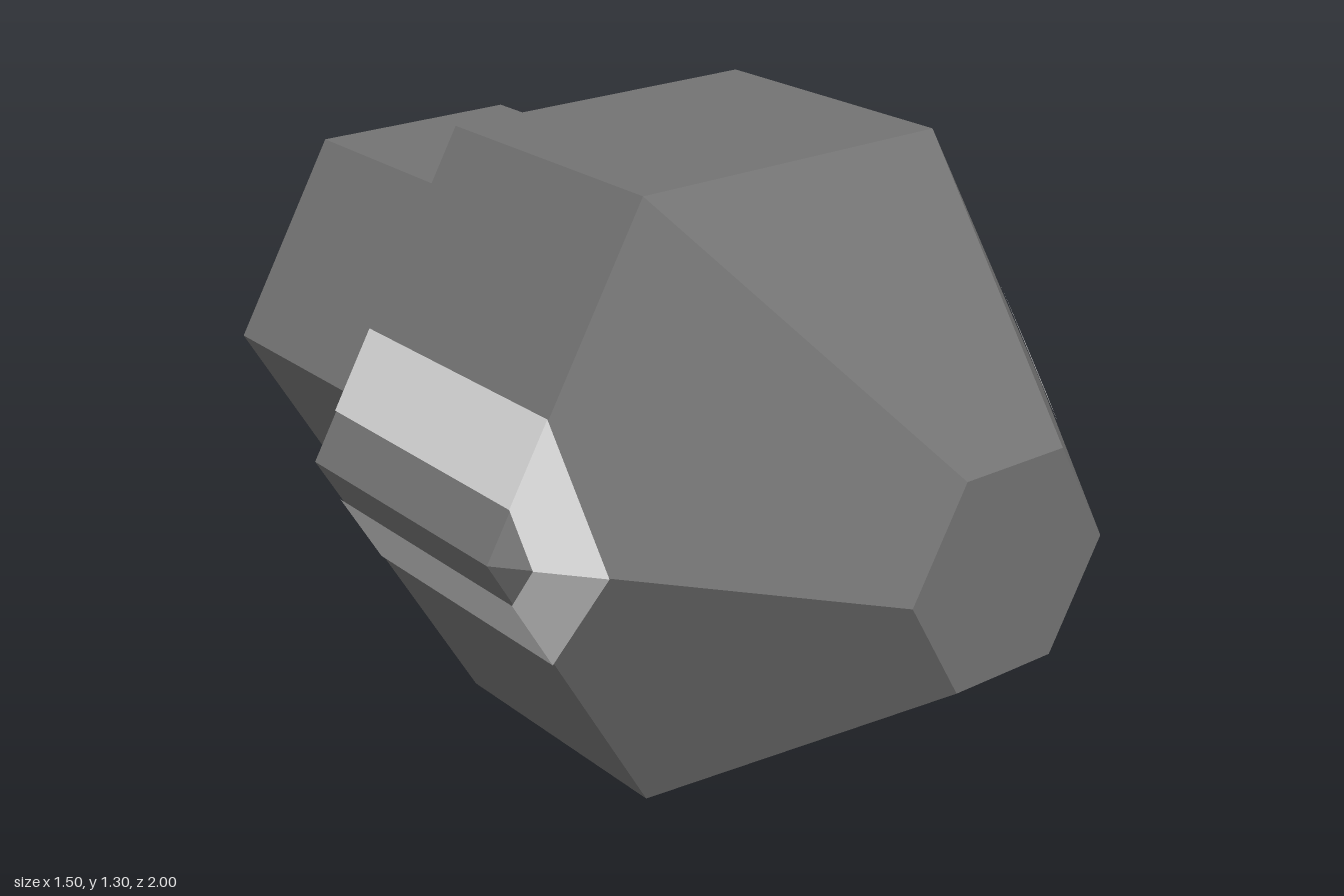
import * as THREE from 'three';

const CENTRE_Y = 0.65;
const SLOPE = Math.sqrt(3);

// Flat mid section and tapers of the hull: radius and z of the rings
const MID_R = 0.75, MID_FRONT = 0.375, MID_REAR = -0.25;
const NOSE_R = 0.25, NOSE_Z = 1, NECK_R = 0.5, NECK_Z = -0.5, TAIL_Z = -1;

function flat(geometry) {
  const g = geometry.toNonIndexed();
  g.computeVertexNormals();
  return g;
}

// Closed outline where the plane x = inset cuts one side of the hull
function sliceLoop(inset, side) {
  const drop = MID_R - inset;
  const h = drop * SLOPE;
  const front = MID_FRONT + (NOSE_Z - MID_FRONT) * drop / (MID_R - NOSE_R);
  const rear = MID_REAR + (NECK_Z - MID_REAR) * drop / (MID_R - NECK_R);
  const loop = [
    [h, MID_FRONT], [0, front], [-h, MID_FRONT],
    [-h, MID_REAR], [0, rear], [h, MID_REAR],
  ].map(([y, z]) => [side * (inset + 0.004), y, z]);
  return side > 0 ? loop : loop.reverse();
}

// Painted ring lying on the hull between two slices
function sideRing(side) {
  const outer = sliceLoop(0.6, side);
  const inner = sliceLoop(0.692, side);
  const positions = [];
  for (let i = 0; i < outer.length; i++) {
    const j = (i + 1) % outer.length;
    positions.push(...outer[i], ...outer[j], ...inner[j]);
    positions.push(...outer[i], ...inner[j], ...inner[i]);
  }
  const g = new THREE.BufferGeometry();
  g.setAttribute('position', new THREE.Float32BufferAttribute(positions, 3));
  g.computeVertexNormals();
  return g;
}

export function createModel() {
  const hullGrey = new THREE.MeshStandardMaterial({ color: 0x737373 });
  hullGrey.name = 'hullGrey';
  const lightGrey = new THREE.MeshStandardMaterial({ color: 0xd3d3d3 });
  lightGrey.name = 'lightGrey';

  const model = new THREE.Group();
  model.name = 'hexagonalPod';
  const add = (name, geometry, material) => {
    const mesh = new THREE.Mesh(geometry, material);
    mesh.name = name;
    mesh.position.y = CENTRE_Y;
    model.add(mesh);
  };

  // Six-sided hull: tail block, flare, mid section, tapered nose
  const profile = [
    [0, TAIL_Z], [NECK_R, TAIL_Z], [NECK_R, NECK_Z], [MID_R, MID_REAR],
    [MID_R, MID_FRONT], [NOSE_R, NOSE_Z], [0, NOSE_Z],
  ].map(([r, z]) => new THREE.Vector2(r, z));
  const hull = new THREE.LatheGeometry(profile, 6, Math.PI / 2);
  hull.rotateX(Math.PI / 2);
  add('hull', flat(hull), hullGrey);

  // Light rings around the side ridges
  add('leftRing', sideRing(1), lightGrey);
  add('rightRing', sideRing(-1), lightGrey);

  // Diagonal stripe on the tail end, drawn mirrored and turned to face back
  const stripe = new THREE.ShapeGeometry(new THREE.Shape([
    [0.355, 0.251], [0.395, 0.182], [-0.085, -0.433], [-0.205, -0.433],
  ].map(([x, y]) => new THREE.Vector2(x, y))));
  stripe.rotateY(Math.PI);
  stripe.translate(0, 0, TAIL_Z - 0.003);
  add('tailStripe', stripe, lightGrey);

  return model;
}
